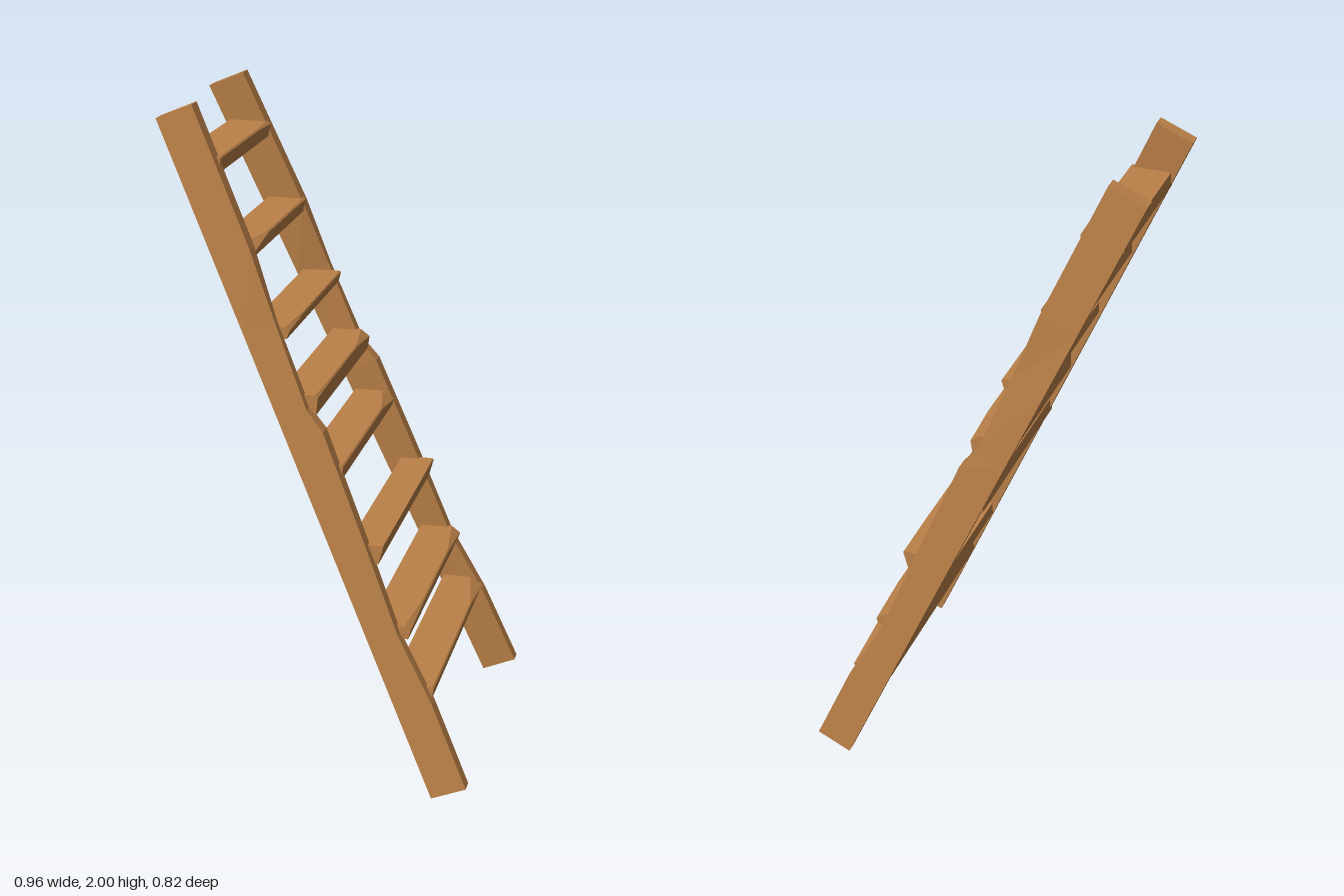
import * as THREE from 'three';

// Solid skinned over cross-sections (each a ring of [x, y, z]), capped at both ends
function loft(sections) {
  const pos = [];
  const tri = (...pts) => pts.forEach((p) => pos.push(...p));
  const n = sections[0].length;
  for (let i = 0; i < sections.length - 1; i++) {
    const lo = sections[i], hi = sections[i + 1];
    for (let j = 0; j < n; j++) {
      const k = (j + 1) % n;
      tri(lo[j], lo[k], hi[k]);
      tri(lo[j], hi[k], hi[j]);
    }
  }
  const first = sections[0], last = sections[sections.length - 1];
  for (let j = 1; j < n - 1; j++) {
    tri(first[0], first[j + 1], first[j]);
    tri(last[0], last[j], last[j + 1]);
  }
  const geo = new THREE.BufferGeometry();
  geo.setAttribute('position', new THREE.Float32BufferAttribute(pos, 3));
  geo.computeVertexNormals();
  return geo;
}

const lerp = THREE.MathUtils.lerp;

// Leaning side rail; the front edge is hewn back a little at some stations
function railGeometry(side) {
  // [position along rail, front edge cut, inner corner cut]
  const stations = [
    [0, 0, 0], [0.13, 0, 0], [0.24, 0.018, 0.004], [0.38, 0.008, 0],
    [0.54, 0, 0], [0.575, 0.02, 0.004], [0.7, 0.012, 0.014], [0.8, 0, 0], [1, 0, 0],
  ];
  return loft(stations.map(([t, cut, innerCut]) => {
    const backX = lerp(0.372, -0.48, t), backY = lerp(0.0, 1.955, t);
    const frontX = lerp(0.476, -0.374, t) - cut, frontY = lerp(0.05, 2.0, t) - cut * 0.43;
    const outer = lerp(0.412, 0.243, t), inner = lerp(0.376, 0.201, t);
    const ring = [
      [backX, backY, side * inner],
      [backX, backY, side * outer],
      [frontX, frontY, side * (outer - innerCut * 0.4)],
      [frontX, frontY, side * (inner + innerCut)],
    ];
    return side > 0 ? ring : ring.reverse();
  }));
}

// Flat tread running along z, its top front edge chipped differently at each end
function stepGeometry({ top, bottom, back, front, chipRight, chipLeft, under }) {
  const half = 0.392 - 0.0885 * (top + bottom) / 2;
  const ring = (z, chip) => [
    [back, bottom, z],
    [front - under, bottom, z],
    [front - under * 0.3, top - Math.min(chip * 0.7, (top - bottom) * 0.7), z],
    [front - chip, top, z],
    [back, top, z],
  ];
  return loft([
    ring(-half, chipRight),
    ring(-half * 0.5, 0.006),
    ring(half * 0.5, 0.006),
    ring(half, chipLeft),
  ]);
}

// Treads from the foot up: [top, bottom, back, front, chipRight, chipLeft, under]
const STEPS = [
  [0.35, 0.31, 0.235, 0.365, 0.045, 0.006, 0.008],
  [0.53, 0.49, 0.16, 0.288, 0.03, 0.02, 0.008],
  [0.77, 0.71, 0.095, 0.203, 0.008, 0.006, 0.02],
  [1.0, 0.955, -0.05, 0.074, 0.04, 0.006, 0.006],
  [1.2, 0.14 + 1.0, -0.12, -0.004, 0.03, 0.01, 0.008],
  [1.39, 0.355 + 1.0, -0.21, -0.09, 0.008, 0.015, 0.012],
  [1.62, 1.58, -0.31, -0.197, 0.008, 0.035, 0.006],
  [1.855, 1.81, -0.42, -0.297, 0.015, 0.006, 0.006],
];

export function createModel() {
  const ladder = new THREE.Group();
  ladder.name = 'ladder';
  const wood = new THREE.MeshStandardMaterial({ color: 0xbb8148, flatShading: true });
  const add = (name, geometry) => {
    const mesh = new THREE.Mesh(geometry, wood);
    mesh.name = name;
    ladder.add(mesh);
  };

  // Side rails, closer together at the top
  add('frontRail', railGeometry(1));
  add('backRail', railGeometry(-1));

  // Treads
  STEPS.forEach(([top, bottom, back, front, chipRight, chipLeft, under], i) => {
    add(`step${i + 1}`, stepGeometry({ top, bottom, back, front, chipRight, chipLeft, under }));
  });
  return ladder;
}
